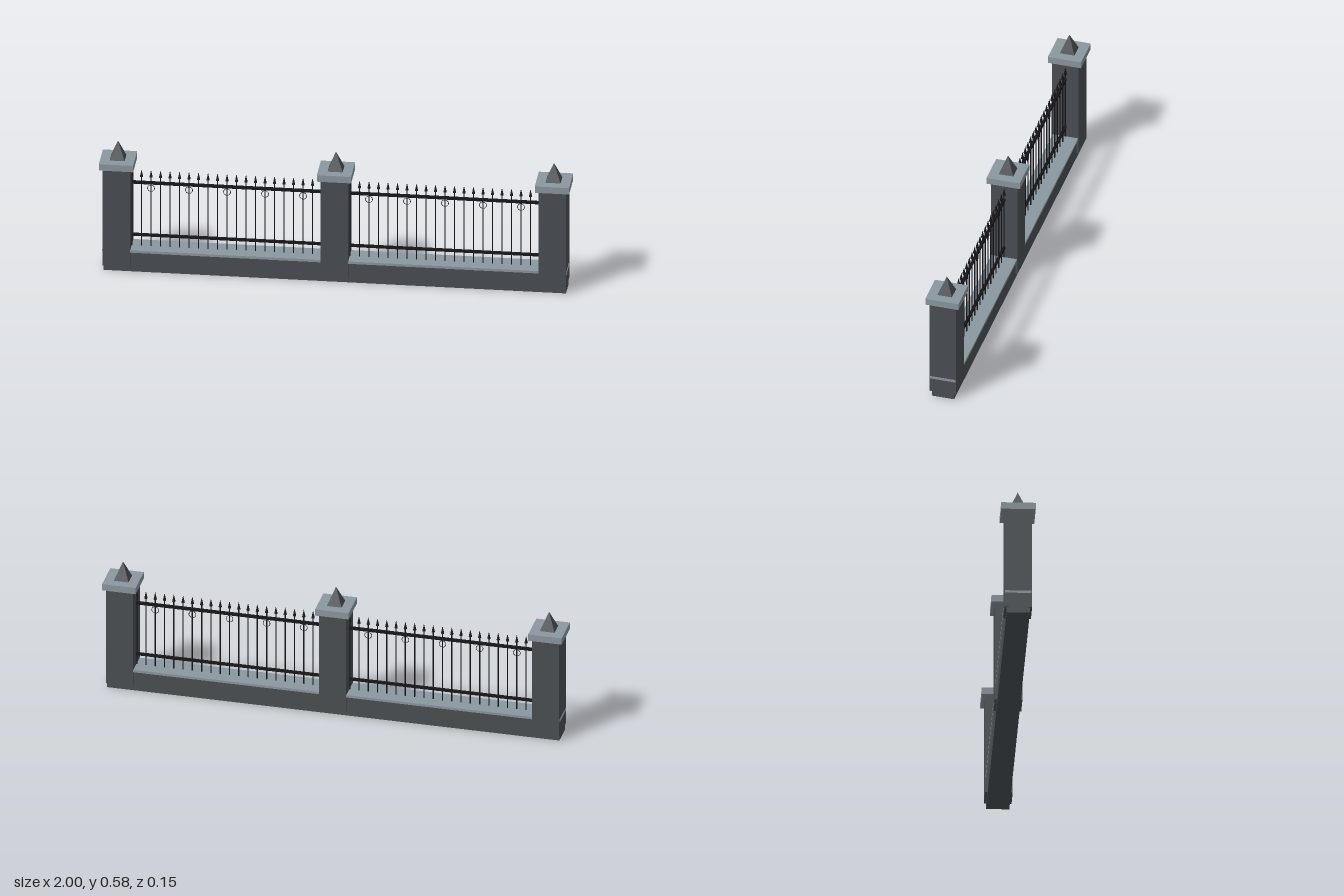
import * as THREE from 'three';

const stone = new THREE.MeshStandardMaterial({ color: 0x4a4f53, flatShading: true });
stone.name = 'dark stone';
const trim = new THREE.MeshStandardMaterial({ color: 0x8b979f });
trim.name = 'pale stone';
const iron = new THREE.MeshStandardMaterial({ color: 0x17171a });
iron.name = 'black iron';

function add(parent, name, geometry, material, x, y, z = 0) {
  const mesh = new THREE.Mesh(geometry, material);
  mesh.name = name;
  mesh.position.set(x, y, z);
  parent.add(mesh);
  return mesh;
}

// Box given by its bottom and top heights
function block(parent, name, material, x, y0, y1, width, depth) {
  return add(parent, name, new THREE.BoxGeometry(width, y1 - y0, depth), material, x, (y0 + y1) / 2);
}

// Square stone post with an overhanging cap and a pyramid on top
function pillar(x) {
  const g = new THREE.Group();
  g.name = 'pillar';
  g.position.x = x;
  block(g, 'pillarShaft', stone, 0, 0.025, 0.475, 0.117, 0.117);
  block(g, 'pillarCap', trim, 0, 0.475, 0.505, 0.146, 0.146);
  const pyramid = new THREE.ConeGeometry(0.032 * Math.SQRT2, 0.08, 4);
  pyramid.rotateY(Math.PI / 4);
  add(g, 'pillarFinial', pyramid, stone, 0, 0.545);
  return g;
}

// Iron railing between two pillars
function railing(x) {
  const g = new THREE.Group();
  g.name = 'railing';
  g.position.x = x;
  block(g, 'topRail', iron, 0, 0.389, 0.401, 0.82, 0.01);
  block(g, 'bottomRail', iron, 0, 0.145, 0.156, 0.82, 0.01);

  const bar = new THREE.CylinderGeometry(0.0028, 0.0028, 0.33, 6);
  const tip = new THREE.ConeGeometry(0.0075, 0.034, 6);
  const ring = new THREE.TorusGeometry(0.015, 0.0013, 6, 20);
  for (let i = 0; i < 21; i++) {
    const px = (i - 10) * 0.0404;
    add(g, 'picket', bar, iron, px, 0.262);
    add(g, 'spearTip', tip, iron, px, 0.439);
    if (i % 4 === 2) add(g, 'ringOrnament', ring, iron, px, 0.37);
  }
  return g;
}

export function createModel() {
  const fence = new THREE.Group();
  fence.name = 'fence';

  // Low wall and its coping, running the whole length
  block(fence, 'baseWall', stone, 0, 0, 0.09, 1.968, 0.098);
  block(fence, 'wallCoping', trim, 0, 0.09, 0.101, 1.975, 0.112);

  for (const x of [-0.927, 0, 0.927]) fence.add(pillar(x));
  for (const x of [-0.4635, 0.4635]) fence.add(railing(x));
  return fence;
}
